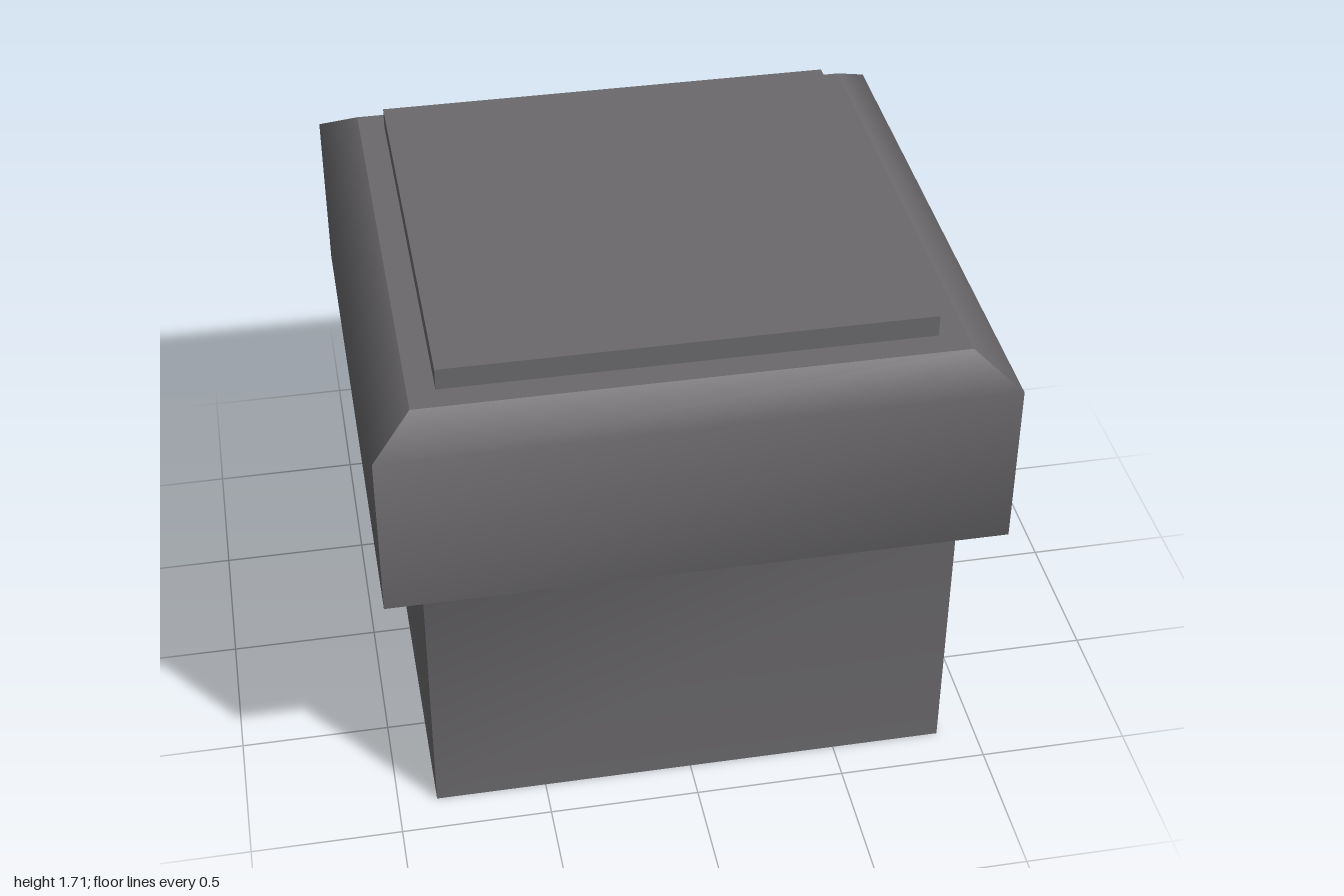
import * as THREE from 'three';

// Half-width and height of the wall outline, from the open bottom to the deck
const PROFILE = [[0.87, 0], [0.87, 0.9], [1, 0.985], [1, 1.55], [0.87, 1.64]];

// One side of the shell: smooth up the outline, mitred at the corners
function sideGeometry() {
  const positions = [];
  const indices = [];
  PROFILE.forEach(([r, y], i) => {
    positions.push(-r, y, r, r, y, r);
    if (i < PROFILE.length - 1) {
      const a = i * 2;
      indices.push(a, a + 1, a + 3, a, a + 3, a + 2);
    }
  });
  const geometry = new THREE.BufferGeometry();
  geometry.setAttribute('position', new THREE.Float32BufferAttribute(positions, 3));
  geometry.setIndex(indices);
  geometry.computeVertexNormals();
  return geometry;
}

export function createModel() {
  const group = new THREE.Group();
  group.name = 'postCap';
  const grey = new THREE.MeshStandardMaterial({ color: 0x6b696c, side: THREE.DoubleSide });
  grey.name = 'dark grey';

  // Four thin walls around the hollow inside
  const side = sideGeometry();
  ['front', 'left', 'back', 'right'].forEach((label, i) => {
    const wall = new THREE.Mesh(side, grey);
    wall.name = label + 'Wall';
    wall.rotation.y = i * Math.PI / 2;
    group.add(wall);
  });

  // Flat deck closing the top
  const deck = new THREE.Mesh(new THREE.PlaneGeometry(1.74, 1.74), grey);
  deck.name = 'deck';
  deck.rotation.x = -Math.PI / 2;
  deck.position.y = 1.64;
  group.add(deck);

  // Raised square panel on the deck
  const panel = new THREE.Mesh(new THREE.BoxGeometry(1.565, 0.073, 1.565), grey);
  panel.name = 'topPanel';
  panel.position.y = 1.6765;
  group.add(panel);

  return group;
}
